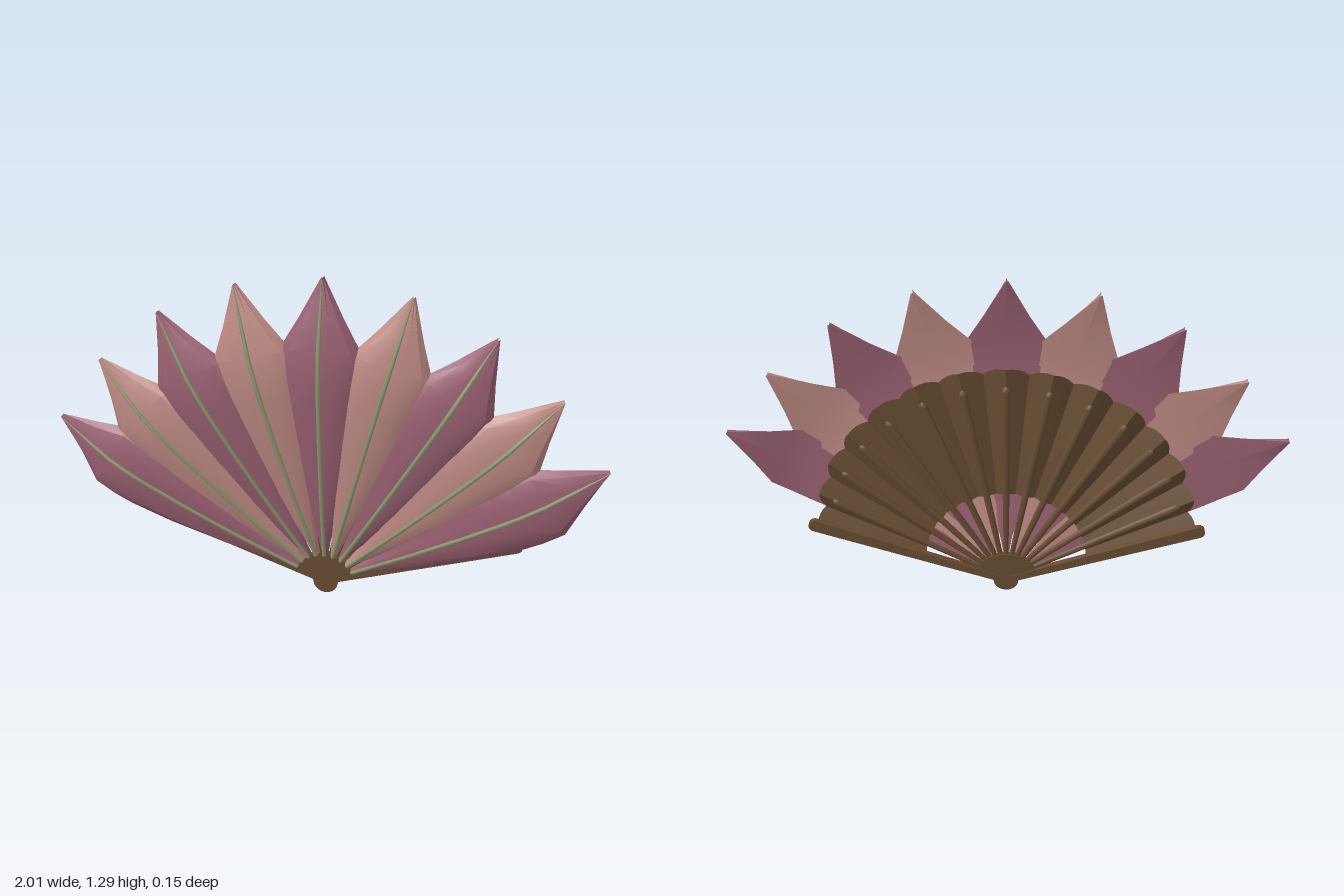
import * as THREE from 'three';
import { toCreasedNormals } from 'three/addons/utils/BufferGeometryUtils.js';

const PIVOT_Y = 0.05;
const RAD = Math.PI / 180;

const mat = (name, color) => {
  const m = new THREE.MeshStandardMaterial({ color });
  m.name = name;
  return m;
};

// Surface through rows of points; closed rows get end caps
function loft(rows, closed) {
  const n = rows[0].length, index = [];
  const steps = closed ? n : n - 1;
  for (let i = 0; i < rows.length - 1; i++) {
    for (let j = 0; j < steps; j++) {
      const k = (j + 1) % n;
      const a = i * n + j, b = i * n + k;
      index.push(b, a, a + n, b, a + n, b + n);
    }
  }
  if (closed) {
    const top = (rows.length - 1) * n;
    for (let j = 1; j < n - 1; j++) {
      index.push(0, j + 1, j);
      index.push(top, top + j, top + j + 1);
    }
  }
  const g = new THREE.BufferGeometry();
  g.setAttribute('position', new THREE.Float32BufferAttribute(rows.flat(2), 3));
  g.setIndex(index);
  g.computeVertexNormals();
  return g;
}

// Petal stations: distance from pivot, half width, front ridge z
const STATIONS = [
  [0.13, 0.012, -0.030], [0.20, 0.024, -0.017], [0.42, 0.076, 0.022],
  [0.65, 0.115, 0.053], [0.82, 0.136, 0.069], [0.90, 0.141, 0.072],
  [0.99, 0.142, 0.067], [1.10, 0.078, 0.043], [1.24, 0.004, 0.010],
];

function petalGeometry() {
  const rows = STATIONS.map(([r, w, z]) => {
    const d = Math.min(0.045, 0.022 + w * 0.18);
    return [
      [w, r, z - d * 0.9], [w * 0.78, r, z - d * 0.36], [w * 0.4, r, z - d * 0.14],
      [0, r, z],
      [-w * 0.4, r, z - d * 0.14], [-w * 0.78, r, z - d * 0.36], [-w, r, z - d * 0.9],
      [0, r, z - d],
    ];
  });
  return toCreasedNormals(loft(rows, true), 0.5);
}

// Tapering vein that follows the petal ridge
function veinGeometry() {
  const rows = STATIONS.map(([r, , z]) => {
    const s = r > 1.05 ? 0.008 * (1.27 - r) / 0.22 : 0.008;
    return [0, 1, 2, 3, 4, 5].map((k) => {
      const a = k * Math.PI / 3;
      return [s * Math.cos(a), r, z + s * 0.7 * Math.sin(a)];
    });
  });
  return loft(rows, true);
}

// Outer radius of the pleated leaf, measured from the pivot
const leafRadius = (a) =>
  0.235 * Math.cos(a) + Math.sqrt(0.49 - (0.235 * Math.sin(a)) ** 2);

function leafGeometry() {
  const rows = [0, 0.5, 0.9, 1].map((t) => {
    const row = [];
    for (let deg = 70; deg >= -70; deg -= 1.25) {
      const a = deg * RAD;
      const m = ((deg % 10) + 10) % 10;
      const fold = 1 - Math.abs(m - 5) / 5; // 0 on a stick, 1 between sticks
      const outer = leafRadius(a) * (1 - 0.035 * fold * fold);
      const r = THREE.MathUtils.lerp(leafRadius(a) * 0.43, outer, t);
      row.push([r * Math.sin(a), r * Math.cos(a), -0.06 + fold * (0.014 + 0.02 * t)]);
    }
    return row;
  });
  return toCreasedNormals(loft(rows, false), 0.4);
}

function stickGeometry(length) {
  const profile = [
    [0, 0.03], [0.008, 0.03], [0.012, 0.3], [0.015, length - 0.02],
    [0.011, length - 0.006], [0, length],
  ].map(([x, y]) => new THREE.Vector2(x, y));
  return new THREE.LatheGeometry(profile, 10).scale(1, 1, 0.7);
}

const extrude = (shape, depth, z) =>
  new THREE.ExtrudeGeometry(shape, { depth, bevelEnabled: false, curveSegments: 10 })
    .translate(0, 0, z);

// Outer guard: widening bar with a rounded end
function guardGeometry() {
  const s = new THREE.Shape();
  s.moveTo(0.014, 0.03);
  s.lineTo(0.024, 0.75);
  s.absarc(0, 0.753, 0.024, 0, Math.PI, false);
  s.lineTo(-0.014, 0.03);
  s.closePath();
  return extrude(s, 0.02, -0.074);
}

// Hub: fan-shaped plate with a rounded lobe below
function hubGeometry() {
  const s = new THREE.Shape();
  s.moveTo(-0.045, 0.045);
  s.absarc(0, 0.047, 0.047, Math.PI, Math.PI * 2, false);
  s.lineTo(0.06, 0.07);
  s.lineTo(0.115, 0.085);
  s.quadraticCurveTo(0.1, 0.17, 0, 0.178);
  s.quadraticCurveTo(-0.1, 0.17, -0.115, 0.085);
  s.lineTo(-0.06, 0.07);
  s.closePath();
  return extrude(s, 0.019, -0.071);
}

export function createModel() {
  const model = new THREE.Group();
  model.name = 'petalFan';

  const mauve = mat('mauve petal', 0x9a6072);
  const pink = mat('pink petal', 0xbe8a83);
  const green = mat('green vein', 0x8c9a70);
  const wood = mat('brown wood', 0x674c32);
  wood.side = THREE.DoubleSide;

  const add = (name, geometry, material, parent) => {
    const mesh = new THREE.Mesh(geometry, material);
    mesh.name = name;
    parent.add(mesh);
    return mesh;
  };

  // Everything that radiates from the pivot
  const spread = new THREE.Group();
  spread.name = 'spread';
  spread.position.y = PIVOT_Y;
  model.add(spread);

  // Nine petals with veins, alternating in colour
  const petalGeo = petalGeometry(), veinGeo = veinGeometry();
  const lengths = [1.24, 1.233, 1.224, 1.2, 1.18];
  for (let i = -4; i <= 4; i++) {
    const petal = new THREE.Group();
    petal.name = 'petal' + (i + 5);
    petal.rotation.z = -i * 14.5 * RAD;
    petal.scale.y = lengths[Math.abs(i)] / 1.24;
    add('petalBody', petalGeo, i % 2 ? pink : mauve, petal);
    add('petalVein', veinGeo, green, petal);
    spread.add(petal);
  }

  // Pleated wooden leaf with its sticks
  add('pleatedLeaf', leafGeometry(), wood, spread);
  for (let deg = -60; deg <= 60; deg += 10) {
    const stick = add('stick', stickGeometry(leafRadius(deg * RAD) * 0.93), wood, spread);
    stick.rotation.z = -deg * RAD;
    stick.position.z = -0.061;
  }

  // Guards at both ends
  const guardGeo = guardGeometry();
  for (const side of [-1, 1]) {
    add(side > 0 ? 'leftGuard' : 'rightGuard', guardGeo, wood, spread)
      .rotation.z = -side * 70.5 * RAD;
  }

  add('hub', hubGeometry(), wood, model);
  return model;
}
